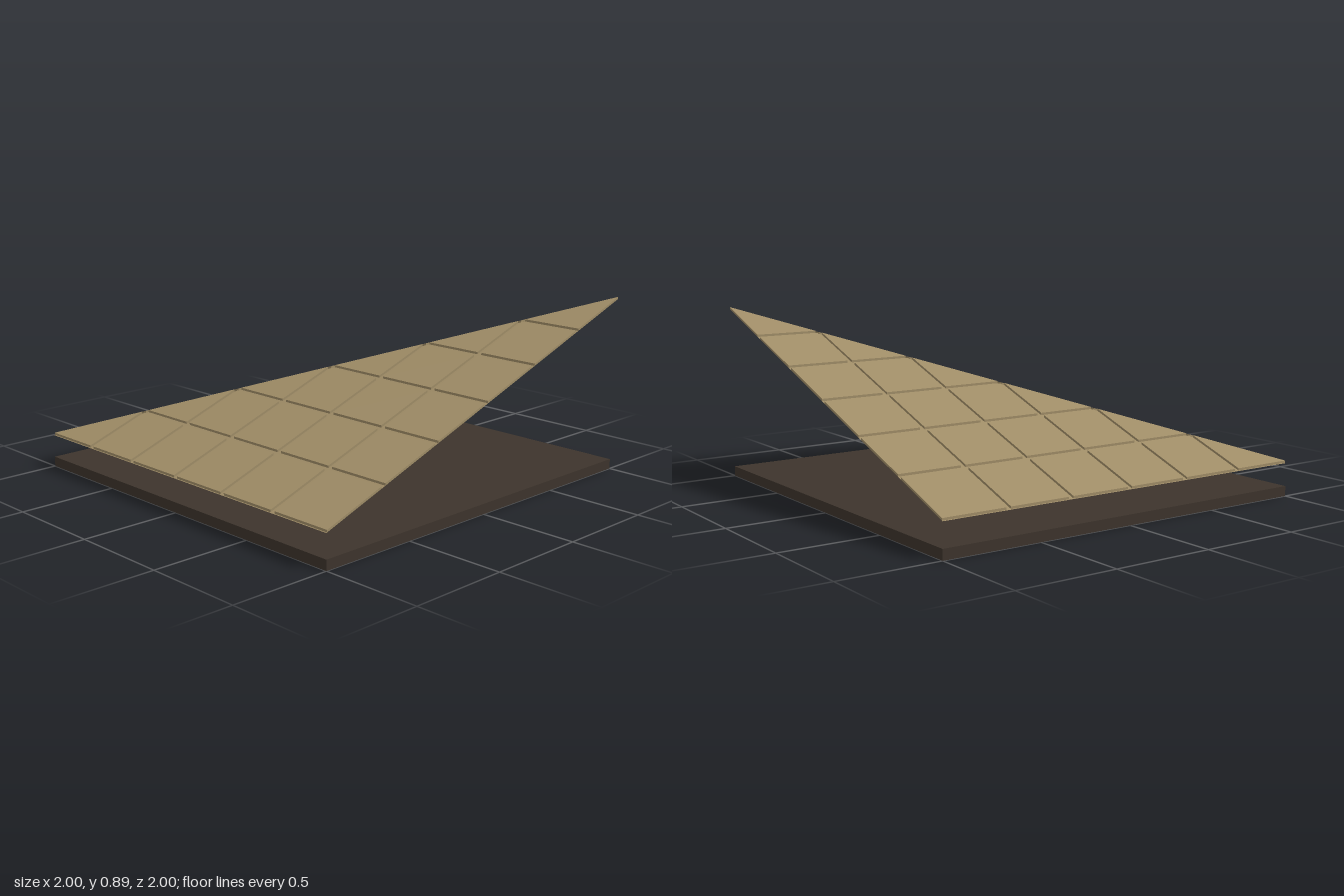
import * as THREE from 'three';

const BASE_Y = 0.165;   // height of the lower roof edges
const RISE = 0.71;      // rise from the low corner to the peak
const PANEL = 0.011;    // panel thickness
const GAP = 0.012;      // half the groove width
const CELLS = 6;

const tan = new THREE.MeshStandardMaterial({ color: 0xa08d67 });
tan.name = 'sandstone tan';
const shade = new THREE.MeshStandardMaterial({ color: 0x837353 });
shade.name = 'underside brown';
const dark = new THREE.MeshStandardMaterial({ color: 0x3d342c });
dark.name = 'dark brown';

// Two slopes meet on the diagonal x = z and climb to the corner (1, 1)
const roofY = (x, z) => BASE_Y + (RISE * (Math.min(x, z) + 1)) / 2;

function mesh(geometry, material, name) {
  const m = new THREE.Mesh(geometry, material);
  m.name = name;
  return m;
}

// Quarter-pyramid skin, facing up or down
function skin(offset, faceDown) {
  const corners = [[-1, -1], [-1, 1], [1, 1], [1, -1]];
  const g = new THREE.BufferGeometry();
  g.setAttribute('position', new THREE.Float32BufferAttribute(
    corners.flatMap(([x, z]) => [x, roofY(x, z) + offset, z]), 3));
  g.setIndex(faceDown ? [0, 2, 1, 0, 3, 2] : [0, 1, 2, 0, 2, 3]);
  const out = faceDown ? g.toNonIndexed() : g;
  out.computeVertexNormals();
  return out;
}

// Thin slab over a plan outline of [x, z] points, sheared onto the slope
function panel(points) {
  const shape = new THREE.Shape(points.map(([x, z]) => new THREE.Vector2(x, -z)));
  const g = new THREE.ExtrudeGeometry(shape, { depth: PANEL, bevelEnabled: false });
  g.rotateX(-Math.PI / 2);
  const p = g.attributes.position;
  for (let i = 0; i < p.count; i++) {
    p.setY(i, p.getY(i) + roofY(p.getX(i), p.getZ(i)));
  }
  g.computeVertexNormals();
  return g;
}

export function createModel() {
  const model = new THREE.Group();
  model.name = 'cornerRoof';

  // Base slab
  const base = mesh(new THREE.BoxGeometry(2, 0.05, 2), dark, 'baseSlab');
  base.position.y = 0.025;
  model.add(base);

  // Roof skin, seen in the grooves and from below
  model.add(mesh(skin(0, false), tan, 'roofSkin'));
  model.add(mesh(skin(-0.003, true), shade, 'roofUnderside'));

  // Raised panels; cells on the hip are split into two triangles
  const panels = new THREE.Group();
  panels.name = 'roofPanels';
  const step = 2 / CELLS;
  for (let i = 0; i < CELLS; i++) {
    for (let j = 0; j < CELLS; j++) {
      const x0 = -1 + i * step + (i === 0 ? 0.004 : GAP);
      const x1 = -1 + (i + 1) * step - (i === CELLS - 1 ? 0 : GAP);
      const z0 = -1 + j * step + (j === 0 ? 0.004 : GAP);
      const z1 = -1 + (j + 1) * step - (j === CELLS - 1 ? 0 : GAP);
      const outlines = i === j
        ? [[[x0, z0], [x0, z1], [x1, z1]], [[x0, z0], [x1, z1], [x1, z0]]]
        : [[[x0, z0], [x0, z1], [x1, z1], [x1, z0]]];
      for (const outline of outlines) panels.add(mesh(panel(outline), tan, 'roofPanel'));
    }
  }
  model.add(panels);
  return model;
}
